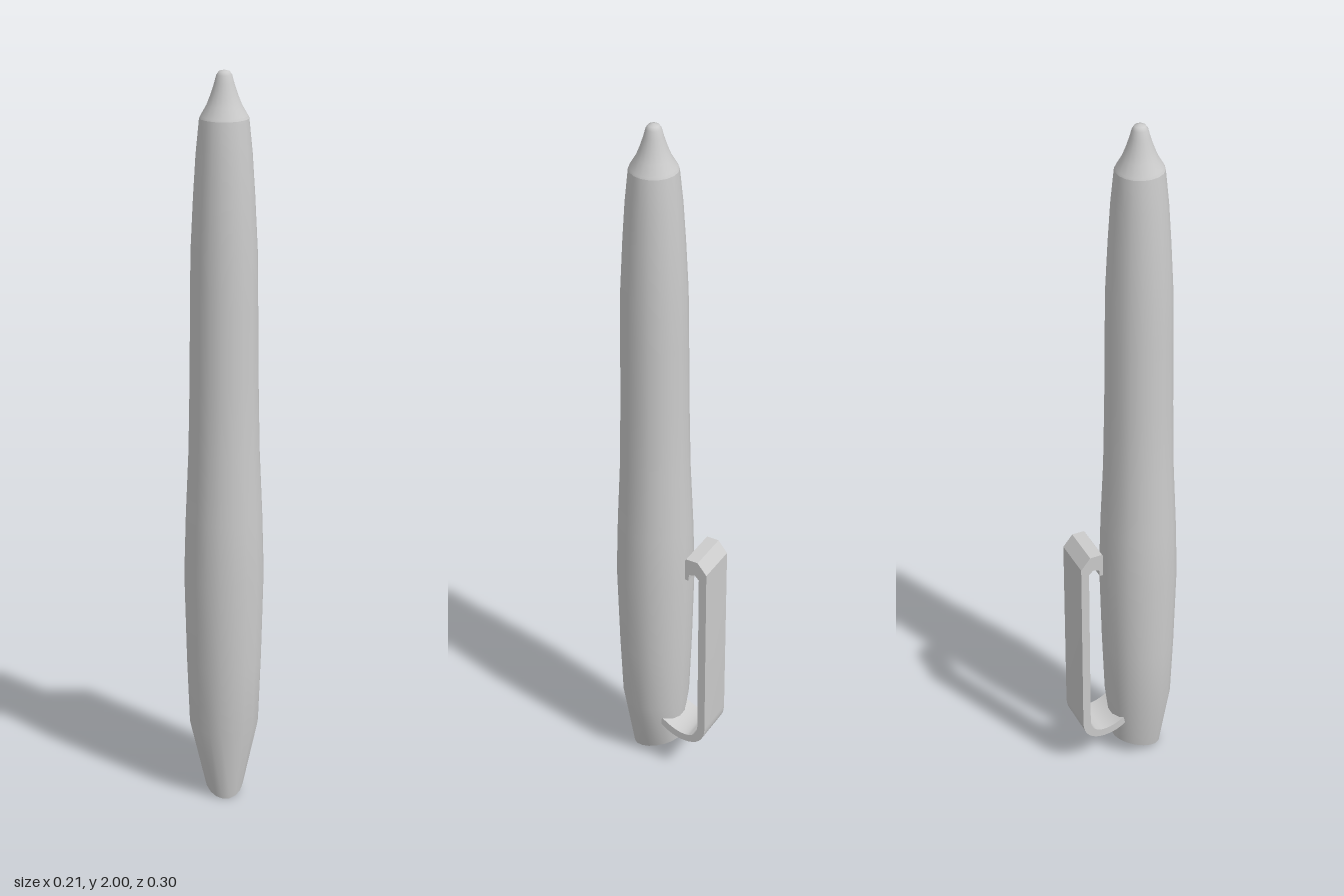
import * as THREE from 'three';
import { mergeVertices, toCreasedNormals } from 'three/addons/utils/BufferGeometryUtils.js';

const SIDES = 18;
const AXIS_Z = 0.043;
const material = new THREE.MeshStandardMaterial({ color: 0xcccccc });

// Lathed part on the pen axis; points at y = 0 are moved onto the slanted oval end.
function turned(name, profile) {
  const points = profile.map(([r, y]) => new THREE.Vector2(r, y));
  let geometry = new THREE.LatheGeometry(points, SIDES, Math.PI / SIDES);
  const p = geometry.attributes.position;
  for (let i = 0; i < p.count; i++) {
    if (p.getY(i) > 0.001) continue;
    const z = p.getZ(i) - 0.005;
    p.setXYZ(i, p.getX(i) * 0.74, (0.067 - z) * 0.414, z);
  }
  geometry.deleteAttribute('uv');
  geometry.deleteAttribute('normal');
  geometry = mergeVertices(geometry, 1e-5);
  geometry.computeVertexNormals();
  const mesh = new THREE.Mesh(geometry, material);
  mesh.name = name;
  mesh.position.set(-0.001, 0, AXIS_Z);
  return mesh;
}

// Bent strip: side outline in (z, y), extruded across the width.
function makeClip() {
  const s = new THREE.Shape();
  s.moveTo(-0.01, 0.175);
  s.lineTo(-0.012, 0.148);
  s.quadraticCurveTo(-0.045, 0.119, -0.085, 0.119);
  s.bezierCurveTo(-0.125, 0.119, -0.151, 0.145, -0.151, 0.19);
  s.lineTo(-0.151, 0.742);
  s.lineTo(-0.124, 0.775);
  s.lineTo(-0.089, 0.775);
  s.lineTo(-0.086, 0.77);
  s.lineTo(-0.086, 0.705);
  s.lineTo(-0.096, 0.705);
  s.lineTo(-0.098, 0.725);
  s.lineTo(-0.116, 0.73);
  s.lineTo(-0.128, 0.718);
  s.lineTo(-0.128, 0.19);
  s.bezierCurveTo(-0.128, 0.16, -0.11, 0.143, -0.085, 0.143);
  s.quadraticCurveTo(-0.05, 0.143, -0.01, 0.175);
  const width = 0.116;
  const geometry = new THREE.ExtrudeGeometry(s, { depth: width, bevelEnabled: false, curveSegments: 8 });
  geometry.rotateY(-Math.PI / 2);
  geometry.translate(0.064, 0, 0);
  const mesh = new THREE.Mesh(toCreasedNormals(geometry, 0.5), material);
  mesh.name = 'clip';
  return mesh;
}

export function createModel() {
  const pen = new THREE.Group();
  pen.name = 'pen';
  pen.add(
    turned('barrel', [
      [0.072, 0], [0.094, 0.21], [0.101, 0.4], [0.107, 0.65], [0.102, 0.82], [0.094, 1.0],
      [0.09, 1.2], [0.088, 1.4], [0.086, 1.54], [0.079, 1.68], [0.072, 1.79], [0.063, 1.88],
    ]),
    turned('slantedEnd', [[0, 0], [0.072, 0]]),
    turned('collar', [[0.063, 1.88], [0.06, 1.886]]),
    turned('tip', [
      [0.06, 1.886], [0.045, 1.912], [0.034, 1.94], [0.025, 1.968],
      [0.02, 1.987], [0.014, 1.996], [0, 2],
    ]),
    makeClip(),
  );
  return pen;
}
